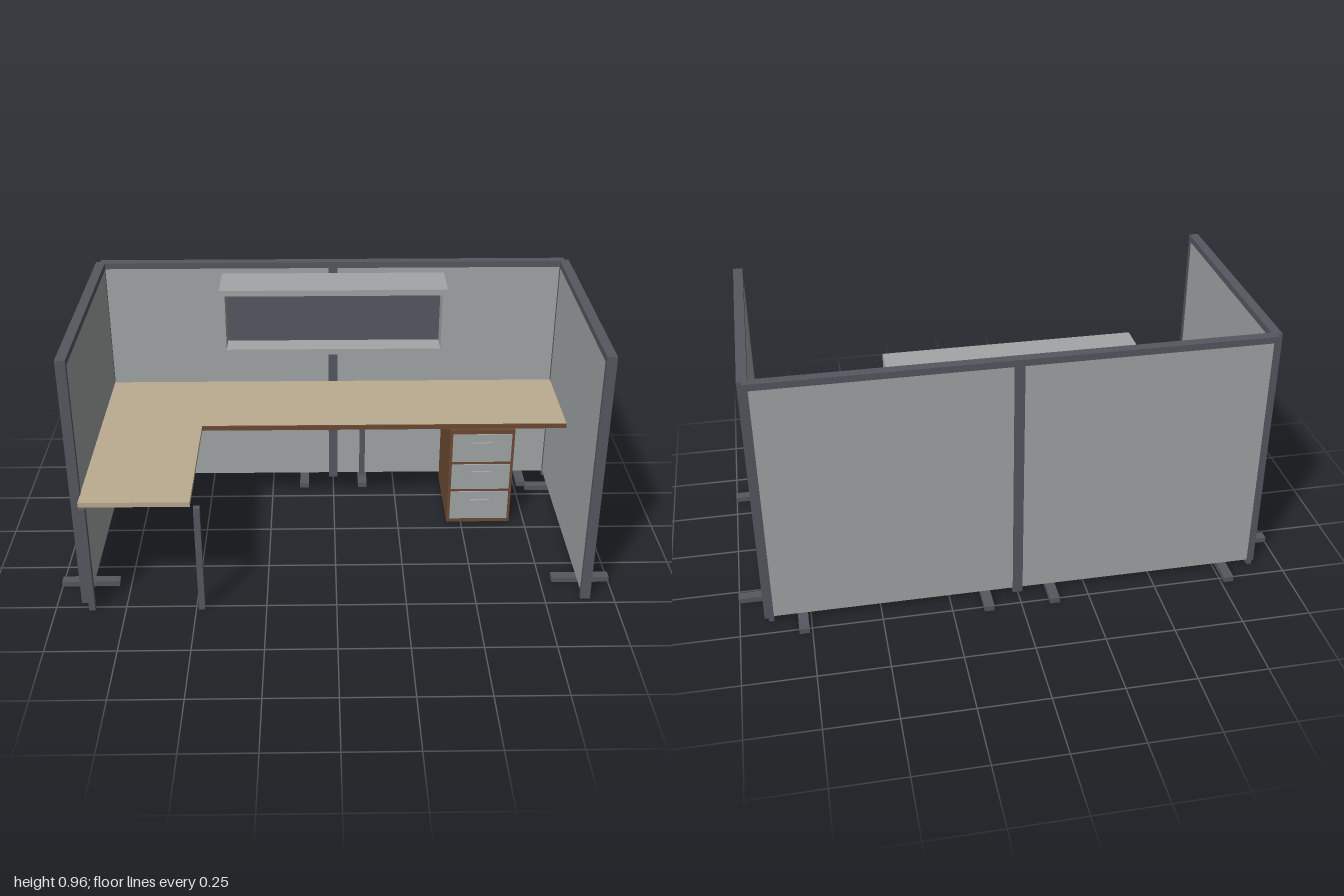
import * as THREE from 'three';

const mat = (name, color) => {
  const m = new THREE.MeshStandardMaterial({ color });
  m.name = name;
  return m;
};

export function createModel() {
  const frame = mat('dark frame', 0x565861);
  const fabric = mat('grey panel', 0xa2a6a7);
  const tan = mat('light wood', 0xbcac91);
  const brown = mat('brown wood', 0x6e4a33);

  const model = new THREE.Group();
  model.name = 'officeCubicle';

  // Box given by its minimum and maximum on each axis
  const box = (name, material, [x0, x1], [y0, y1], [z0, z1], parent = model) => {
    const mesh = new THREE.Mesh(new THREE.BoxGeometry(x1 - x0, y1 - y0, z1 - z0), material);
    mesh.position.set((x0 + x1) / 2, (y0 + y1) / 2, (z0 + z1) / 2);
    mesh.name = name;
    parent.add(mesh);
    return mesh;
  };

  // Framed partition, built along local x and centred on it, with two cross feet
  const partition = (name, width) => {
    const g = new THREE.Group();
    g.name = name;
    const h = width / 2, t = 0.0175, post = 0.018;
    box('panel', fabric, [-h + post, h - post], [0.02, 0.936], [-0.0145, 0.0145], g);
    box('topRail', frame, [-h + post, h - post], [0.936, 0.96], [-t, t], g);
    for (const s of [-1, 1]) {
      const p = s * (h - post / 2), f = s * (h - 0.12);
      box('post', frame, [p - post / 2, p + post / 2], [0, 0.96], [-t, t], g);
      box('foot', frame, [f - 0.018, f + 0.018], [0, 0.02], [-0.105, 0.105], g);
    }
    model.add(g);
    return g;
  };

  for (const s of [-1, 1]) {
    partition('backPartition', 0.898).position.set(s * 0.449, 0, -0.42);
    const side = partition('sidePartition', 0.894);
    side.rotation.y = Math.PI / 2;
    side.position.set(s * 0.8965, 0, 0.028);
  }

  // L-shaped worktop with a brown front edge on the long part
  box('mainWorktop', tan, [-0.88, 0.88], [0.432, 0.45], [-0.402, -0.024]);
  box('worktopEdge', brown, [-0.5, 0.88], [0.432, 0.45], [-0.024, -0.019]);
  box('returnWorktop', tan, [-0.88, -0.5], [0.432, 0.45], [-0.024, 0.523]);

  // Worktop legs
  for (const [x, z] of [[-0.87, 0.508], [-0.48, 0.508], [0.12, -0.385]]) {
    box('leg', frame, [x - 0.011, x + 0.011], [0, 0.42], [z - 0.011, z + 0.011]);
  }

  // Open overhead shelf
  const shelf = new THREE.Group();
  shelf.name = 'overheadShelf';
  model.add(shelf);
  const depth = [-0.403, -0.225];
  box('shelfTop', fabric, [-0.43, 0.43], [0.892, 0.915], depth, shelf);
  box('shelfBottom', fabric, [-0.43, 0.43], [0.65, 0.673], depth, shelf);
  for (const s of [-1, 1]) {
    box('shelfSide', fabric, [s * 0.42 - 0.01, s * 0.42 + 0.01], [0.673, 0.892], depth, shelf);
  }
  box('shelfBack', frame, [-0.41, 0.41], [0.673, 0.892], [-0.4, -0.31], shelf);

  // Drawer pedestal
  const pedestal = new THREE.Group();
  pedestal.name = 'drawerPedestal';
  model.add(pedestal);
  box('cabinet', brown, [0.444, 0.692], [0, 0.412], [-0.39, -0.045], pedestal);
  for (const [y0, y1] of [[0.018, 0.14], [0.153, 0.262], [0.275, 0.394]]) {
    const y = (y0 + y1) / 2 + 0.022;
    box('drawerFront', fabric, [0.455, 0.681], [y0, y1], [-0.045, -0.04], pedestal);
    box('drawerHandle', fabric, [0.531, 0.605], [y - 0.005, y + 0.005], [-0.04, -0.032], pedestal);
  }

  return model;
}
